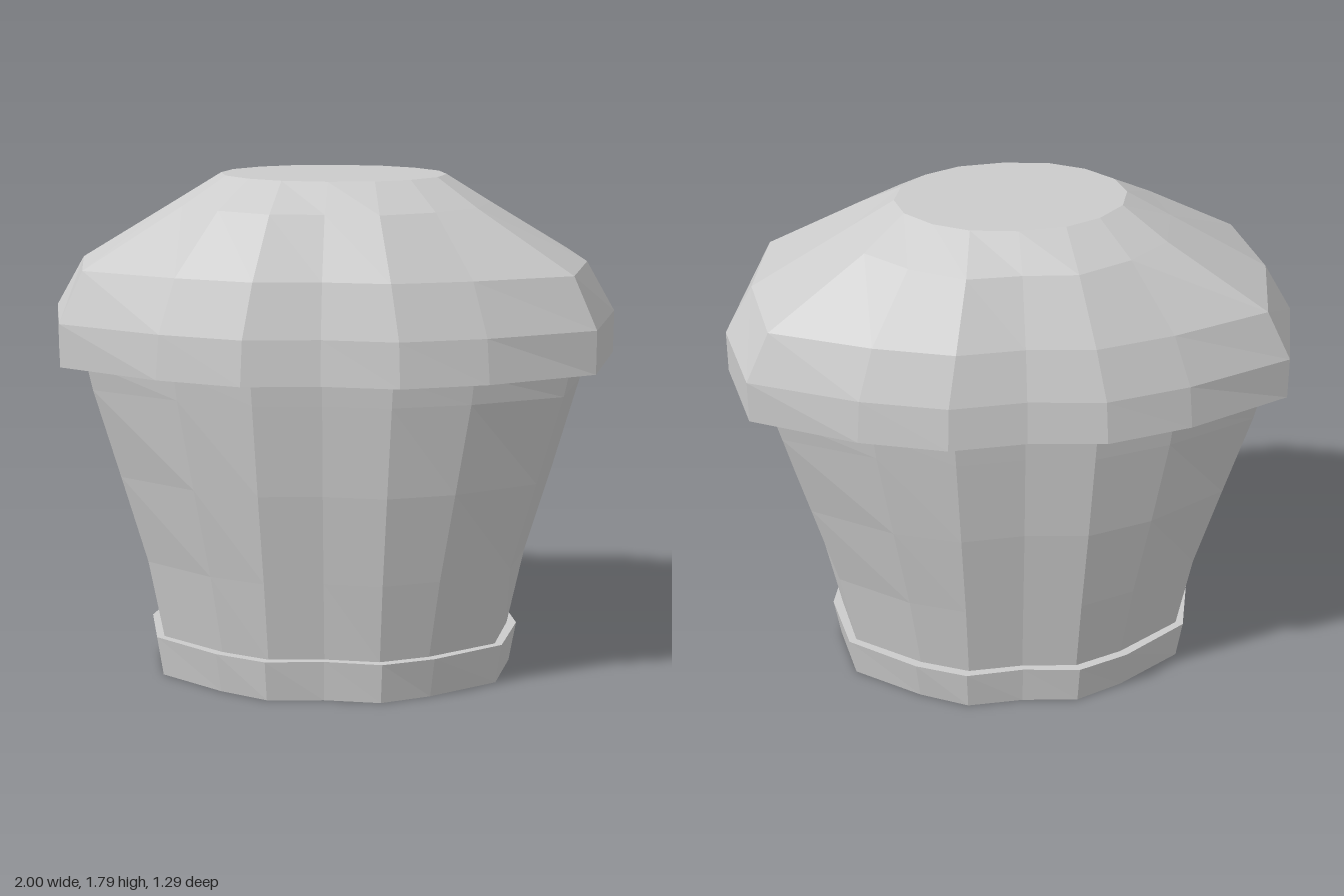
import * as THREE from 'three';

const material = new THREE.MeshStandardMaterial({ color: 0xcccccc, flatShading: true, side: THREE.DoubleSide });

// 16-sided outline from one quadrant: side, corner, shoulder, lobe and dented middle
function ring(y, side, corner, shoulder, lobe, middle, tilt = 0) {
  const q = [[side, 0], corner, shoulder, lobe, [0, middle]];
  const half = [...q, ...q.slice(0, 4).reverse().map(([x, z]) => [-x, z])];
  const loop = [...half, ...half.slice(1, 8).reverse().map(([x, z]) => [x, -z])];
  return loop.map(([x, z]) => [x, y - tilt * z, z]);
}

// Skin a stack of rings, listed bottom to top, with optional flat end caps
function loft(name, rings, capBottom, capTop) {
  const pos = [];
  const tri = (a, b, c) => pos.push(...a, ...b, ...c);
  for (let r = 0; r < rings.length - 1; r++) {
    const lo = rings[r], hi = rings[r + 1], n = lo.length;
    for (let i = 0; i < n; i++) {
      const j = (i + 1) % n;
      tri(lo[i], hi[i], hi[j]);
      tri(lo[i], hi[j], lo[j]);
    }
  }
  const cap = (loop, up) => {
    const centre = [0, loop[0][1], 0];
    loop.forEach((p, i) => {
      const next = loop[(i + 1) % loop.length];
      if (up) tri(centre, next, p);
      else tri(centre, p, next);
    });
  };
  if (capBottom) cap(rings[0], false);
  if (capTop) cap(rings[rings.length - 1], true);
  const geometry = new THREE.BufferGeometry();
  geometry.setAttribute('position', new THREE.Float32BufferAttribute(pos, 3));
  geometry.computeVertexNormals();
  const mesh = new THREE.Mesh(geometry, material);
  mesh.name = name;
  return mesh;
}

export function createModel() {
  const group = new THREE.Group();
  group.name = 'muffin';

  // Foot band, with a narrow ledge running in to the body
  group.add(loft('footBand', [
    ring(0, 0.65, [0.60, 0.25], [0.37, 0.41], [0.2, 0.49], 0.475),
    ring(0.145, 0.675, [0.62, 0.26], [0.385, 0.43], [0.205, 0.505], 0.485),
    ring(0.145, 0.64, [0.595, 0.245], [0.365, 0.405], [0.195, 0.475], 0.46),
  ], true, false));

  // Flared cup
  group.add(loft('cup', [
    ring(0.145, 0.64, [0.595, 0.245], [0.365, 0.405], [0.195, 0.475], 0.46),
    ring(0.43, 0.70, [0.645, 0.265], [0.40, 0.435], [0.205, 0.51], 0.49),
    ring(0.75, 0.795, [0.73, 0.30], [0.45, 0.47], [0.22, 0.545], 0.525),
    ring(1.07, 0.885, [0.815, 0.34], [0.50, 0.49], [0.235, 0.565], 0.545),
    ring(1.17, 0.905, [0.835, 0.35], [0.51, 0.495], [0.24, 0.57], 0.55),
  ], false, false));

  // Overhanging domed top, starting with its underside
  group.add(loft('dome', [
    ring(1.165, 0.90, [0.83, 0.345], [0.51, 0.49], [0.24, 0.565], 0.545, 0.02),
    ring(1.165, 1.0, [0.92, 0.38], [0.56, 0.56], [0.265, 0.645], 0.62, 0.02),
    ring(1.315, 1.0, [0.92, 0.38], [0.55, 0.545], [0.26, 0.625], 0.60, 0.015),
    ring(1.49, 0.90, [0.84, 0.35], [0.50, 0.49], [0.23, 0.565], 0.545),
    ring(1.70, 0.555, [0.51, 0.21], [0.37, 0.34], [0.185, 0.435], 0.425),
    ring(1.795, 0.40, [0.37, 0.11], [0.28, 0.205], [0.16, 0.265], 0.285),
  ], false, true));

  return group;
}
